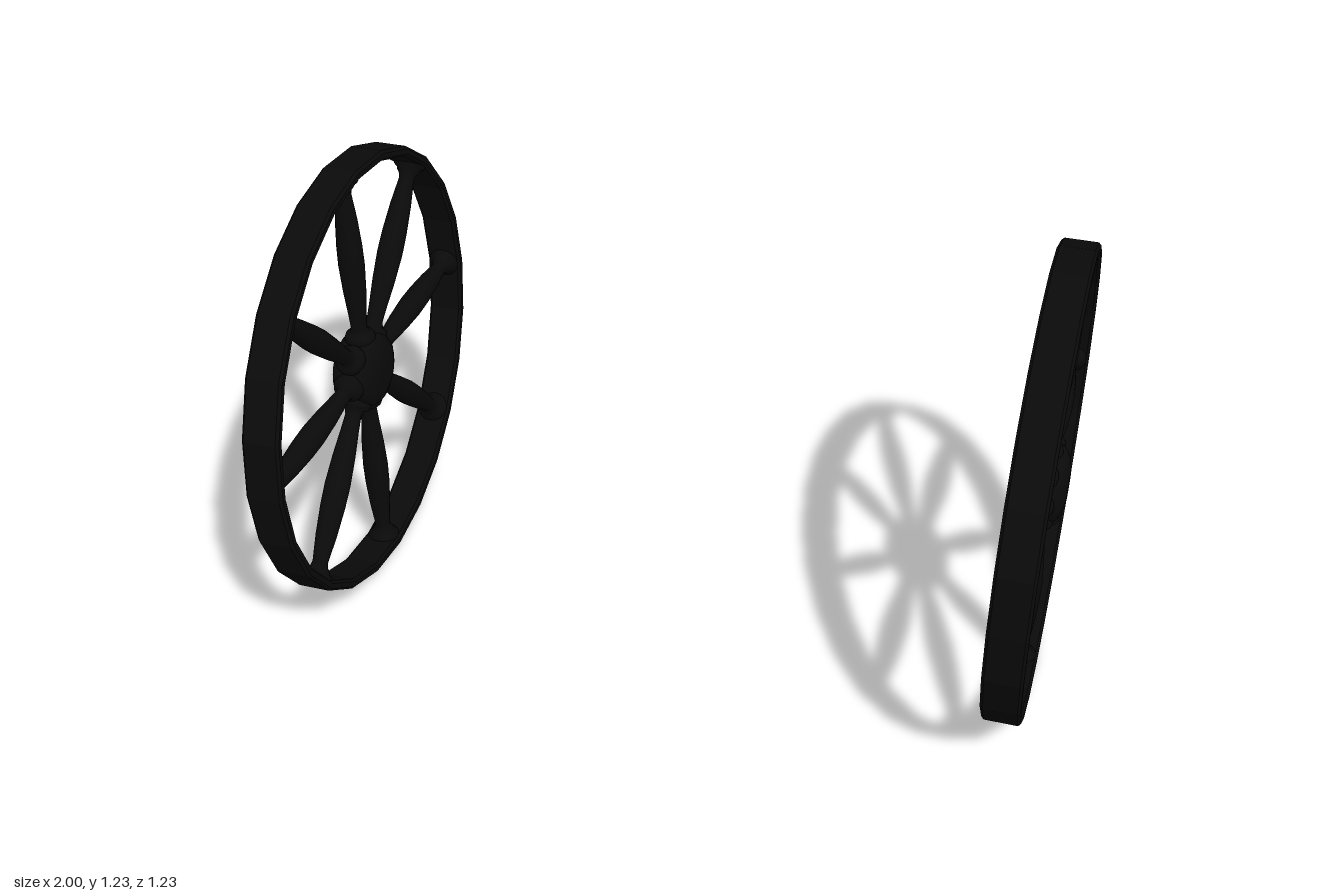
import * as THREE from 'three';

const RADIUS = 0.617;
const SPOKES = 8;

const profile = (pts) => pts.map(([r, h]) => new THREE.Vector2(r, h));

function part(name, geometry, material) {
  const mesh = new THREE.Mesh(geometry, material);
  mesh.name = name;
  return mesh;
}

// One wheel, axle along x, centred on its hub
function createWheel(name, smooth, faceted) {
  const wheel = new THREE.Group();
  wheel.name = name;

  // Faceted rim band with slightly bevelled edges
  const inner = 0.589, w = 0.05, b = 0.007;
  const rim = new THREE.LatheGeometry(profile([
    [inner, -w + b], [inner + b, -w], [RADIUS - b, -w], [RADIUS, -w + b],
    [RADIUS, w - b], [RADIUS - b, w], [inner + b, w], [inner, w - b], [inner, -w + b],
  ]), 24);
  rim.rotateZ(Math.PI / 2);
  wheel.add(part('rim', rim, faceted));

  // Domed hub
  const hub = new THREE.LatheGeometry(profile([
    [0, -0.067], [0.04, -0.066], [0.065, -0.061], [0.088, -0.052], [0.1, -0.04], [0.104, -0.02],
    [0.104, 0.02], [0.1, 0.04], [0.088, 0.052], [0.065, 0.061], [0.04, 0.066], [0, 0.067],
  ]), 24);
  hub.rotateZ(Math.PI / 2);
  wheel.add(part('hub', hub, smooth));

  // Turned spokes: collar at the hub, swollen middle, flared foot at the rim
  const spoke = new THREE.LatheGeometry(profile([
    [0, 0.07], [0.042, 0.08], [0.042, 0.104], [0.038, 0.115], [0.027, 0.12],
    [0.022, 0.135], [0.025, 0.18], [0.031, 0.25], [0.035, 0.33], [0.034, 0.39],
    [0.029, 0.47], [0.021, 0.545], [0.024, 0.558], [0.031, 0.568],
    [0.034, 0.576], [0.044, 0.584], [0.044, 0.594], [0, 0.596],
  ]), 16);
  for (let i = 0; i < SPOKES; i++) {
    const mesh = part(`spoke${i + 1}`, spoke, smooth);
    mesh.rotation.x = (i / SPOKES) * Math.PI * 2;
    wheel.add(mesh);
  }
  return wheel;
}

export function createModel() {
  const model = new THREE.Group();
  model.name = 'wheelPair';
  const smooth = new THREE.MeshStandardMaterial({ color: 0x0a0a0a });
  const faceted = new THREE.MeshStandardMaterial({ color: 0x0a0a0a, flatShading: true });

  // Matching wheels on either side
  for (const [name, side] of [['leftWheel', 1], ['rightWheel', -1]]) {
    const wheel = createWheel(name, smooth, faceted);
    wheel.position.set(side * 0.933, RADIUS, 0);
    model.add(wheel);
  }
  return model;
}
